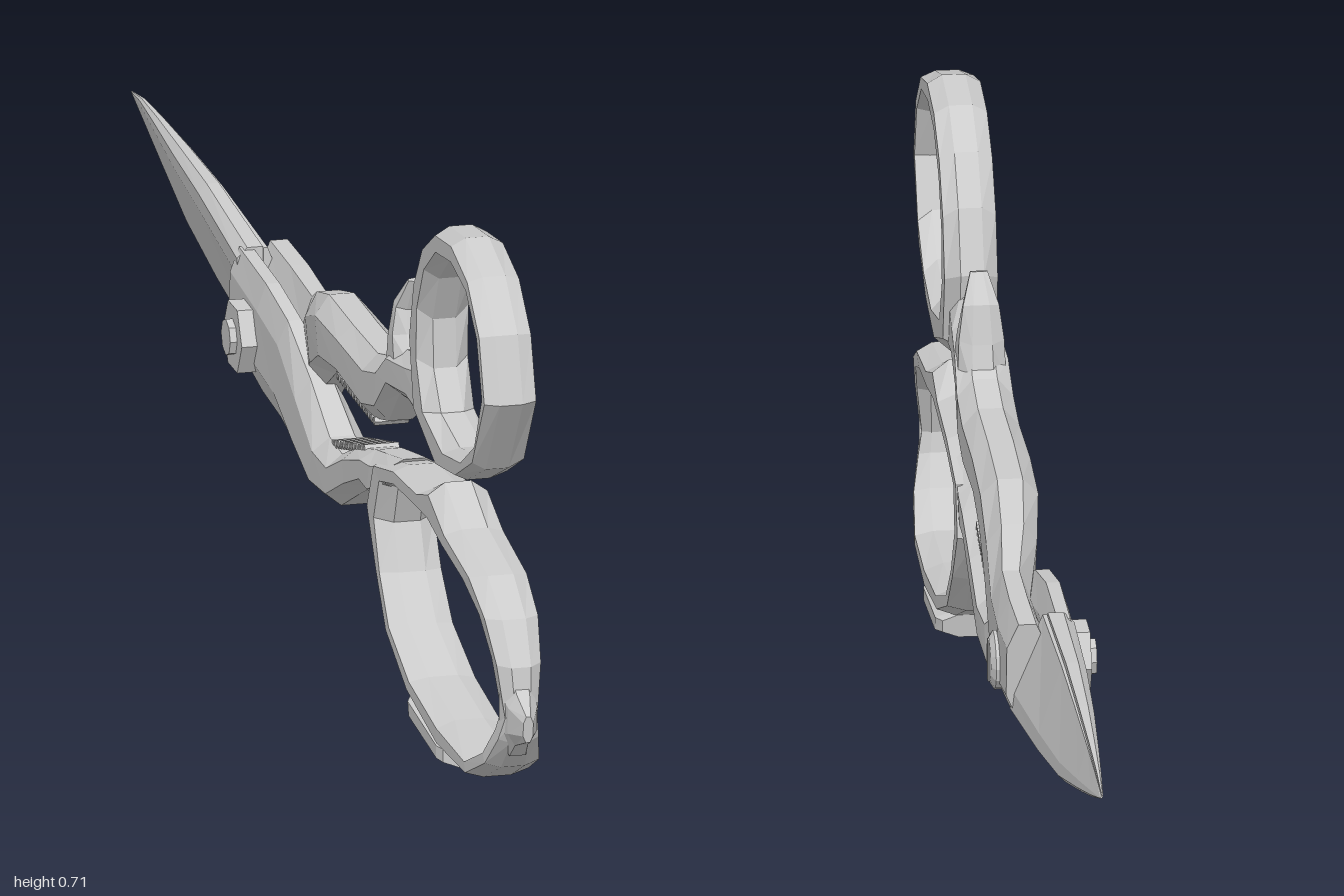
import * as THREE from 'three';

const steel = new THREE.MeshStandardMaterial({ color: 0xcccccc, flatShading: true, side: THREE.DoubleSide });

// Cross-sections as [t, u]: t runs from edge A to edge B, u runs from x0 to x1
const BAR = [[0, .28], [0, .72], [.25, 1], [.75, 1], [1, .72], [1, .28], [.75, 0], [.25, 0]];
const BLADE_LEFT = [[0, 0], [0, .12], [.72, .95], [.9, 1], [1, .6], [1, 0]];
const BLADE_RIGHT = [[1, 1], [1, .88], [.28, .05], [.1, 0], [0, .4], [0, 1]];

// Lofts a cross-section through stations [zA, yA, zB, yB, x0, x1]
function loft(name, stations, section = BAR, closed = false) {
  const n = section.length, m = stations.length, pos = [], idx = [];
  for (const [zA, yA, zB, yB, x0, x1] of stations)
    for (const [t, u] of section)
      pos.push(x0 + (x1 - x0) * u, yA + (yB - yA) * t, zA + (zB - zA) * t);
  for (let i = 0; i < (closed ? m : m - 1); i++)
    for (let j = 0; j < n; j++) {
      const a = i * n + j, b = i * n + (j + 1) % n;
      const c = ((i + 1) % m) * n + j, d = ((i + 1) % m) * n + (j + 1) % n;
      idx.push(a, b, d, a, d, c);
    }
  if (!closed)
    for (let j = 1; j < n - 1; j++) {
      const e = (m - 1) * n;
      idx.push(0, j + 1, j, e, e + j, e + j + 1);
    }
  // Turn the faces outward if the enclosed volume comes out negative
  const p = i => new THREE.Vector3().fromArray(pos, i * 3);
  let volume = 0;
  for (let i = 0; i < idx.length; i += 3) volume += p(idx[i]).dot(p(idx[i + 1]).cross(p(idx[i + 2])));
  if (volume < 0) idx.reverse();
  const g = new THREE.BufferGeometry();
  g.setAttribute('position', new THREE.Float32BufferAttribute(pos, 3));
  g.setIndex(idx);
  const flat = g.toNonIndexed();
  flat.computeVertexNormals();
  return named(name, flat);
}

function named(name, geometry) {
  const mesh = new THREE.Mesh(geometry, steel);
  mesh.name = name;
  return mesh;
}

// Cylinder lying along x
function disc(name, r, x0, x1, sides, rOuter = r) {
  const g = new THREE.CylinderGeometry(rOuter, r, Math.abs(x1 - x0), sides);
  g.rotateZ(x1 > x0 ? -Math.PI / 2 : Math.PI / 2);
  g.translate((x0 + x1) / 2, .283, -.25);
  return named(name, g);
}

// Row of small grip ridges between two points [z, y]
function ridges(name, from, to, count) {
  const group = new THREE.Group();
  group.name = name;
  for (let i = 0; i < count; i++) {
    const k = i / (count - 1);
    const g = new THREE.CylinderGeometry(.006, .006, .045, 5).rotateZ(Math.PI / 2);
    g.translate(.01, from[1] + (to[1] - from[1]) * k, from[0] + (to[0] - from[0]) * k);
    group.add(named('ridge', g));
  }
  return group;
}

export function createModel() {
  const model = new THREE.Group();
  model.name = 'shears';

  // Thumb half: round ring, shank with finger hook, left blade
  const thumbRing = [
    [.907, .539, .88, .544], [.88, .624, .853, .613], [.816, .683, .80, .656], [.73, .709, .725, .667],
    [.645, .699, .65, .656], [.576, .661, .592, .613], [.528, .603, .56, .549], [.496, .523, .565, .485],
    [.512, .421, .603, .437], [.629, .373, .70, .421], [.736, .389, .789, .437], [.832, .432, .853, .48],
  ].map(s => [...s, -.023, .045]);
  const thumbHalf = new THREE.Group();
  thumbHalf.name = 'thumbHalf';
  thumbHalf.add(
    loft('thumbRing', thumbRing, BAR, true),
    loft('thumbShank', [
      [.515, .50, .60, .382, -.015, .037],
      [.469, .475, .485, .411, -.02, .04],
      [.395, .464, .395, .40, -.024, .044],
      [.352, .437, .341, .347, -.026, .046],
      [.288, .421, .277, .331, -.027, .046],
      [.165, .421, .149, .341, -.028, .046],
      [.032, .421, .064, .325, -.026, .048],
      [-.064, .395, -.021, .283, -.015, .05],
      [-.144, .363, -.133, .208, .003, .053],
      [-.26, .368, -.25, .222, .003, .057],
      [-.362, .371, -.345, .238, .003, .055],
    ]),
    loft('fingerHook', [
      [.424, .557, .415, .559, 0, .022],
      [.408, .515, .384, .525, -.012, .034],
      [.418, .485, .373, .475, -.018, .04],
      [.448, .45, .357, .42, -.02, .042],
    ]),
    loft('leftBlade', [
      [-.33, .372, -.33, .232, .001, .048],
      [-.555, .385, -.555, .261, .001, .036],
      [-.715, .387, -.715, .288, .001, .026],
      [-.848, .386, -.848, .325, .001, .016],
      [-.94, .383, -.94, .352, .001, .008],
      [-1, .375, -1, .372, 0, .002],
    ], BLADE_LEFT),
    ridges('thumbRidges', [.29, .332], [.10, .335], 15),
  );

  // Finger half: long bow, shank, right blade
  const fingerHalf = new THREE.Group();
  fingerHalf.name = 'fingerHalf';
  fingerHalf.add(
    loft('fingerBow', [
      [.975, .139, .933, .149, -.012, .03],
      [.965, .208, .912, .213, -.02, .038],
      [.928, .261, .869, .256, -.026, .044],
      [.859, .299, .795, .277, -.029, .047],
      [.725, .32, .70, .288, -.03, .048],
      [.64, .357, .63, .293, -.03, .048],
      [.581, .331, .565, .299, -.03, .048],
      [.459, .325, .459, .293, -.03, .048],
      [.341, .299, .40, .277, -.03, .047],
      [.309, .235, .379, .224, -.031, .048],
      [.368, .16, .405, .165, -.032, .049],
      [.427, .096, .459, .112, -.034, .05],
      [.539, .048, .565, .075, -.035, .052],
      [.70, .021, .70, .059, -.035, .052],
      [.843, .027, .832, .053, -.033, .05],
      [.923, .064, .901, .085, -.027, .044],
      [.96, .107, .928, .123, -.018, .035],
    ], BAR, true),
    loft('bowTip', [
      [.945, .20, .945, .085, -.015, .033],
      [.975, .175, .965, .105, -.01, .028],
      [1, .153, .997, .118, .003, .016],
    ]),
    loft('bowRest', [
      [.535, .05, .54, .018, -.028, .045],
      [.55, .05, .56, .014, -.035, .053],
      [.70, .035, .70, .002, -.035, .053],
      [.715, .035, .715, 0, -.03, .048],
    ]),
    loft('fingerShank', [
      [.42, .32, .39, .27, -.025, .043],
      [.341, .304, .315, .235, -.03, .046],
      [.288, .293, .277, .24, -.03, .046],
      [.192, .267, .203, .208, -.03, .046],
      [.117, .235, .112, .165, -.031, .045],
      [.059, .24, .021, .155, -.032, .042],
      [-.021, .293, -.059, .176, -.034, .03],
      [-.101, .347, -.139, .208, -.037, .004],
      [-.2, .366, -.22, .218, -.04, 0],
      [-.345, .371, -.362, .238, -.038, 0],
    ]),
    loft('rightBlade', [
      [-.33, .374, -.33, .236, -.034, 0],
      [-.555, .39, -.555, .264, -.027, 0],
      [-.715, .391, -.715, .291, -.02, 0],
      [-.848, .389, -.848, .328, -.012, 0],
      [-.94, .385, -.94, .354, -.006, 0],
      [-1, .376, -1, .372, -.002, 0],
    ], BLADE_RIGHT),
    ridges('fingerRidges', [.24, .28], [.08, .238], 13),
  );

  // Pivot: slotted screw head on the left, hex nut and bolt end on the right
  const pivot = new THREE.Group();
  pivot.name = 'pivot';
  const slot = named('screwSlot', new THREE.BoxGeometry(.003, .056, .008));
  slot.position.set(.067, .283, -.25);
  pivot.add(
    disc('screwHead', .038, .03, .061, 14),
    disc('screwDome', .038, .061, .067, 14, .028),
    slot,
    disc('nut', .048, -.03, -.06, 6),
    disc('boltEnd', .024, -.055, -.069, 8),
  );

  model.add(thumbHalf, fingerHalf, pivot);
  return model;
}
